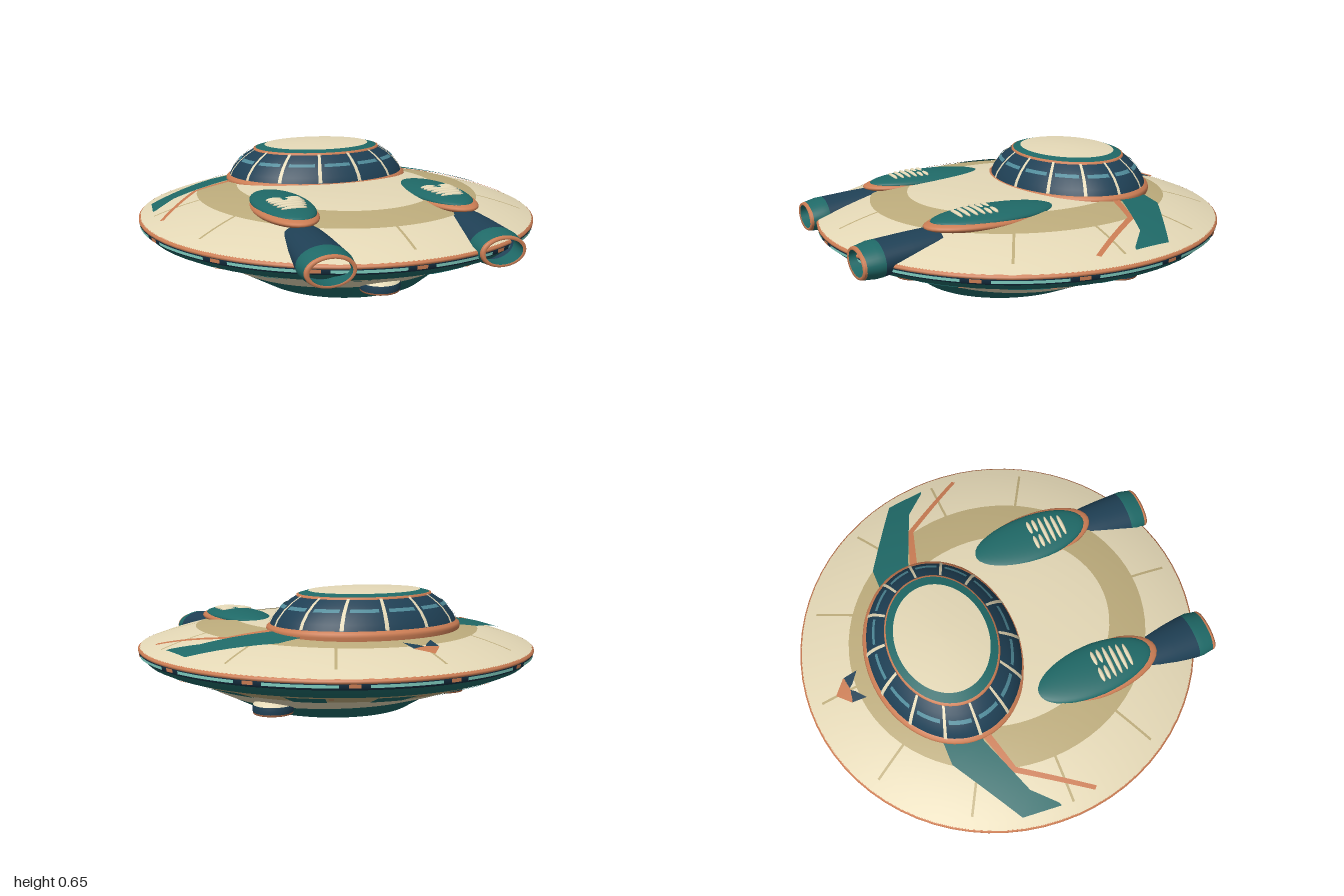
import * as THREE from 'three';

const mat = (name, color) => {
  const m = new THREE.MeshStandardMaterial({ color, side: THREE.DoubleSide });
  m.name = name;
  return m;
};

export function createModel() {
  const model = new THREE.Group();
  model.name = 'saucer';
  const cream = mat('cream', 0xe4d8b6), tan = mat('tan', 0xbdac7c), teal = mat('teal', 0x1f6967),
    navy = mat('navy', 0x1f4055), dark = mat('dark navy', 0x152f42), copper = mat('copper', 0xcb7d54),
    aqua = mat('aqua', 0x84d6c8), glass = mat('light glass', 0x4f8a99), slate = mat('slate', 0x384b57);

  const add = (name, geo, material, parent = model) => {
    const mesh = new THREE.Mesh(geo, material);
    mesh.name = name;
    parent.add(mesh);
    return mesh;
  };

  // Grid surface from a point rule; rows run along v, columns along u
  const sheet = (rule, nu, nv, closed = false) => {
    const pos = [], idx = [], cols = closed ? nu : nu + 1;
    for (let i = 0; i <= nv; i++)
      for (let j = 0; j < cols; j++) pos.push(...rule(j / nu, i / nv, i));
    for (let i = 0; i < nv; i++)
      for (let j = 0; j < nu; j++) {
        const a = i * cols + j, b = i * cols + (j + 1) % cols;
        idx.push(a, b, b + cols, a, b + cols, a + cols);
      }
    const g = new THREE.BufferGeometry();
    g.setAttribute('position', new THREE.Float32BufferAttribute(pos, 3));
    g.setIndex(idx);
    g.computeVertexNormals();
    return g;
  };

  // Loft through horizontal ellipses [rx, rz, y, cz], listed from bottom to top
  const loft = (rings, n = 72, a0 = 0, a1 = Math.PI * 2) =>
    sheet((u, v, i) => {
      const [rx, rz, y, cz = 0] = rings[i], a = a0 + (a1 - a0) * u;
      return [rx * Math.sin(a), y, cz + rz * Math.cos(a)];
    }, n, rings.length - 1, a1 - a0 > 6.28);

  // Hull ellipse: depth is slightly greater than width
  const K = 1.026, R = 0.966, TAU = Math.PI * 2;
  const ring = (r, y) => [r, r * K, y];
  const hullY = (x, z) => 0.357 + 0.133 * (1 - Math.min(1, Math.hypot(x / R, z / (R * K))) ** 2.9);

  // Upper hull and rim
  const upper = [];
  for (let i = 0; i <= 24; i++) {
    const r = R * (1 - i / 24);
    upper.push(ring(r, hullY(r, 0)));
  }
  add('upperHull', loft(upper), cream);
  add('rimTrim', loft([ring(0.968, 0.338), ring(0.974, 0.342), ring(0.974, 0.35), ring(0.964, 0.358)]), copper);
  add('rimBand', loft([ring(0.955, 0.31), ring(0.968, 0.32), ring(0.968, 0.338)]), dark);
  add('rimSkirt', loft([ring(0.88, 0.262), ring(0.93, 0.285), ring(0.955, 0.31)]), teal);

  // Darker oval band lying on the upper hull
  add('deckBand', sheet((u, v) => {
    const a = u * TAU, x = (0.69 - 0.2 * v) * Math.sin(a), z = (0.745 - 0.18 * v) * Math.cos(a);
    return [x, hullY(x, z) + 0.003, z];
  }, 72, 8, true), tan);

  // Lower hull, whose keel is shifted forward
  add('panelBand', loft([ring(0.72, 0.205), ring(0.88, 0.262)]), tan);
  add('lowerHull', loft([[0.555, 0.525, 0.117, 0.045], [0.64, 0.635, 0.16, 0.02], ring(0.72, 0.205)]), cream);
  add('keelBand', loft([[0.42, 0.45, 0.048, 0.07], [0.555, 0.525, 0.117, 0.045]]), teal);
  add('keel', loft([[0.225, 0.17, 0.004, 0.14], [0.42, 0.45, 0.048, 0.07]]), slate);

  // Repeating panels and rim lights
  const N = 14, step = TAU / N;
  for (let i = 0; i < N; i++) {
    const a = (i + 0.5) * step;
    add('lowerPanel', loft([ring(0.725, 0.203), ring(0.868, 0.2545)], 4, a - 0.1, a + 0.1), teal);
    add('panelClip', loft([ring(0.83, 0.24), ring(0.875, 0.256)], 1, a + 0.115, a + 0.14), copper);
    add('rimLight', loft([ring(0.97, 0.3215), ring(0.972, 0.335)], 8, a - 0.16, a + 0.16), aqua);
    add('rimTick', loft([ring(0.97, 0.321), ring(0.971, 0.337)], 2, a + 0.2, a + 0.25), copper);
  }

  // Hollow keel port: plate, lip, recessed wall and ceiling, small lights around it
  const portRing = (r, y) => [r, r * 0.78, y, 0.14];
  add('keelPlate', loft([portRing(0.12, 0.003), [0.225, 0.17, 0.004, 0.14]]), dark);
  add('portLip', loft([portRing(0.105, 0.006), portRing(0.112, 0), portRing(0.125, 0.002)], 40), copper);
  add('portWall', loft([portRing(0.107, 0.004), portRing(0.104, 0.045)], 40), navy);
  add('portGlow', loft([portRing(0.102, 0.016), portRing(0.102, 0.026)], 40), aqua);
  add('portCeiling', loft([portRing(0.105, 0.045), portRing(0.06, 0.06), portRing(0, 0.064)], 40), cream);
  for (let i = 0; i < 10; i++) {
    const a = i * TAU / 10;
    add('portLight', loft([portRing(0.15, 0.0005), portRing(0.188, 0.0005)], 2, a - 0.12, a + 0.12), cream);
  }

  // Cockpit dome
  const C = -0.285;
  const dome = [[0.466, 0.363, 0.492, C], [0.453, 0.352, 0.52, C], [0.42, 0.325, 0.56, C],
    [0.376, 0.291, 0.595, C], [0.335, 0.26, 0.62, C]];
  const raised = (rings, d) => rings.map(([rx, rz, y, cz]) => [rx + d, rz + d, y + d * 0.6, cz]);
  add('domeBase', loft([[0.478, 0.376, 0.435, C], [0.486, 0.384, 0.468, C], [0.482, 0.379, 0.483, C],
    [0.464, 0.361, 0.494, C]]), copper);
  add('domeWindow', loft(dome), navy);
  add('domeTrim', loft([[0.339, 0.263, 0.617, C], [0.337, 0.261, 0.625, C], [0.327, 0.254, 0.628, C]]), copper);
  add('domeCollar', loft([[0.327, 0.254, 0.628, C], [0.28, 0.22, 0.64, C]]), teal);
  add('domeLid', loft([1, 0.9, 0.7, 0.45, 0.2, 0].map(t => [0.28 * t, 0.22 * t, 0.64 + 0.014 * (1 - t * t), C])), cream);
  for (let i = 0; i < N; i++) {
    const a = (i + 0.5) * step, b = i * step;
    add('mullion', loft(raised(dome, 0.005), 1, a - 0.021, a + 0.021), cream);
    add('windowGlint', loft(raised([[0.413, 0.32, 0.566, C], [0.396, 0.307, 0.58, C]], 0.004), 6, b - 0.165, b + 0.165), glass);
  }

  // Strip between two polylines of [x, z], draped over the hull
  const drape = (name, A, B, material, parent, lift = 0.008) => {
    const at = (P, u) => {
      const s = u * (P.length - 1), i = Math.min(P.length - 2, Math.floor(s)), f = s - i;
      return [0, 1].map(k => P[i][k] + (P[i + 1][k] - P[i][k]) * f);
    };
    return add(name, sheet((u, v) => {
      const a = at(A, u), b = at(B, u), x = a[0] + (b[0] - a[0]) * v, z = a[1] + (b[1] - a[1]) * v;
      return [x, hullY(x, z) + lift, z];
    }, 6 * (A.length - 1), 5), material, parent);
  };

  // Radial seams
  for (let i = 0; i < 12; i++) {
    const a = i * TAU / 12, s = Math.sin(a), c = Math.cos(a), w = 0.006;
    const line = d => [[0.68 * s + c * d, 0.7 * c - s * d], [0.91 * s + c * d, 0.93 * c - s * d]];
    drape('hullSeam', line(-w), line(w), tan, model, 0.005);
  }

  // Tail marker
  drape('tailMarker', [[-0.066, -0.79], [0, -0.852], [0.066, -0.79]], [[-0.06, -0.785], [0, -0.775], [0.06, -0.785]], copper, model, 0.012);

  // Nozzle section loft along z: [z, rx, ry, y]
  const tube = rings => sheet((u, v, i) => {
    const [z, rx, ry, y] = rings[i], a = u * TAU;
    return [rx * Math.cos(a), y + ry * Math.sin(a), z];
  }, 36, rings.length - 1, true);

  // Parts that appear on both sides
  for (const side of [1, -1]) {
    const half = new THREE.Group();
    half.name = side > 0 ? 'leftSide' : 'rightSide';
    half.scale.x = side;
    model.add(half);

    drape('sweptFin', [[0.42, -0.46], [0.54, -0.46], [0.885, -0.25], [0.905, -0.06]],
      [[0.42, -0.29], [0.5, -0.28], [0.785, -0.17], [0.89, -0.065]], teal, half, 0.01);
    drape('finTrim', [[0.44, -0.29], [0.68, -0.215], [0.9, 0.115]],
      [[0.44, -0.25], [0.665, -0.19], [0.885, 0.13]], copper, half);
    drape('tailMarkerFin', [[0.004, -0.776], [0.066, -0.788]], [[0.022, -0.755], [0.073, -0.715]], navy, half, 0.012);

    // Engine pod with vents
    const pod = new THREE.Group();
    pod.name = 'enginePod';
    pod.position.x = 0.383;
    half.add(pod);
    const egg = (name, x, y, z, sx, sy, sz, m) => {
      const e = add(name, new THREE.SphereGeometry(1, 36, 20), m, pod);
      e.position.set(x, y, z);
      e.scale.set(sx, sy, sz);
    };
    egg('podCover', 0, 0.47, 0.34, 0.13, 0.036, 0.305, teal);
    egg('podBase', 0.004, 0.456, 0.365, 0.138, 0.037, 0.314, copper);
    const vent = (x, z, length) => {
      const v = add('podVent', new THREE.SphereGeometry(1, 16, 8), cream, pod);
      const h = Math.sqrt(1 - ((z - 0.34) / 0.305) ** 2 - (x / 0.13) ** 2);
      v.position.set(x, 0.467 + 0.036 * h, z);
      v.scale.set(length / 2, 0.011, 0.011);
    };
    for (const z of [0.36, 0.39]) for (const x of [-0.042, 0.042]) vent(x, z, 0.08);
    [0.165, 0.155, 0.14, 0.12].forEach((w, i) => vent(0, 0.422 + i * 0.033, w));

    // Open exhaust nozzle
    add('nozzle', tube([[0.62, 0.086, 0.05, 0.4], [0.66, 0.094, 0.058, 0.392], [0.76, 0.106, 0.07, 0.374],
      [0.89, 0.116, 0.077, 0.356]]), navy, pod);
    add('nozzleCollar', tube([[0.89, 0.116, 0.077, 0.356], [0.92, 0.117, 0.077, 0.354], [0.972, 0.108, 0.068, 0.349]]), teal, pod);
    add('nozzleLip', tube([[0.97, 0.109, 0.068, 0.349], [0.98, 0.108, 0.067, 0.349]]), copper, pod);
    add('nozzleRim', tube([[0.98, 0.108, 0.067, 0.349], [0.988, 0.102, 0.062, 0.348], [0.984, 0.09, 0.054, 0.348]]), copper, pod);
    add('nozzleLining', tube([[0.984, 0.09, 0.054, 0.348], [0.9, 0.096, 0.062, 0.356]]), teal, pod);
  }

  // Three hollow lift thrusters under the hull
  for (const [x, z] of [[0, 0.575], [0.485, -0.285], [-0.485, -0.285]]) {
    const t = new THREE.Group();
    t.name = 'liftThruster';
    t.position.set(x, 0.1, z);
    model.add(t);
    const r = (a, h) => [a, a, h];
    add('thrusterLip', loft([r(0.08, 0.006), r(0.083, 0), r(0.091, 0), r(0.093, 0.008)], 32), copper, t);
    add('thrusterBody', loft([r(0.093, 0.008), r(0.095, 0.025), r(0.092, 0.042)], 32), navy, t);
    add('thrusterGlow', loft([r(0.086, 0.016), r(0.086, 0.024)], 32), glass, t);
    add('thrusterCap', loft([r(0.092, 0.042), r(0.075, 0.06), r(0.045, 0.07), r(0, 0.074)], 32), cream, t);
  }
  return model;
}
